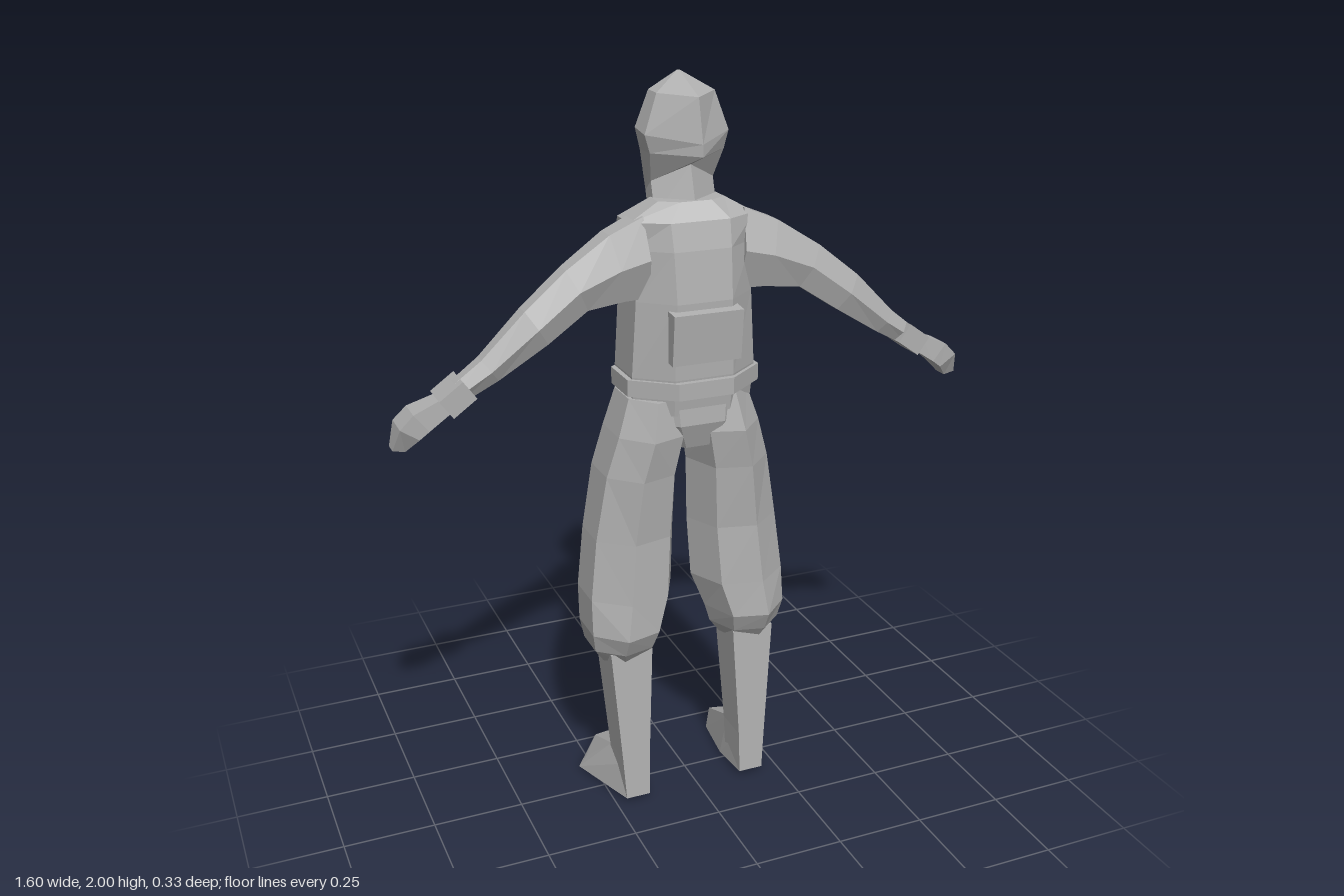
import * as THREE from 'three';
import { ConvexGeometry } from 'three/addons/geometries/ConvexGeometry.js';

const clothGrey = new THREE.MeshStandardMaterial({ color: 0xb0b0b0, flatShading: true });
clothGrey.name = 'clothGrey';

// Skin a solid through rings [x, y, z, halfWidth, halfDepth, angle, tilt], base to tip.
// angle turns the ring in the xy plane, tilt lifts its +z side; side = -1 mirrors in x.
// power shapes the ring: under 1 boxier, over 1 closer to a diamond.
function loft(rings, n, { side = 1, offset = Math.PI / n, power = 1 } = {}) {
  const bend = (v) => Math.sign(v) * Math.abs(v) ** power;
  const dirs = Array.from({ length: n }, (_, j) => offset + (j / n) * Math.PI * 2)
    .map((t) => [bend(Math.cos(t)), bend(Math.sin(t))]);
  const maxU = Math.max(...dirs.map(([u]) => Math.abs(u)));
  const maxV = Math.max(...dirs.map(([, v]) => Math.abs(v)));
  const loops = rings.map(([x, y, z, ru, rv, angle = 0, tilt = 0]) => dirs.map((d) => {
    const u = (d[0] / maxU) * ru, v = d[1] / maxV;
    return [side * (x + u * Math.cos(angle)), y + u * Math.sin(angle) + v * tilt, z + v * rv];
  }));
  const pos = [];
  const tri = (a, b, c) => pos.push(...a, ...(side > 0 ? [...b, ...c] : [...c, ...b]));
  const centre = (r) => [side * r[0], r[1], r[2]];
  const last = rings.length - 1;
  for (let j = 0; j < n; j++) {
    const k = (j + 1) % n;
    for (let i = 0; i < last; i++) {
      tri(loops[i][j], loops[i + 1][j], loops[i][k]);
      tri(loops[i][k], loops[i + 1][j], loops[i + 1][k]);
    }
    tri(centre(rings[0]), loops[0][j], loops[0][k]);
    tri(centre(rings[last]), loops[last][k], loops[last][j]);
  }
  const g = new THREE.BufferGeometry();
  g.setAttribute('position', new THREE.Float32BufferAttribute(pos, 3));
  g.computeVertexNormals();
  return g;
}

export function createModel() {
  const model = new THREE.Group();
  model.name = 'hoodedFigure';
  const add = (name, geometry, x = 0, y = 0, z = 0) => {
    const m = new THREE.Mesh(geometry, clothGrey);
    m.name = name;
    m.position.set(x, y, z);
    model.add(m);
    return m;
  };

  // Hooded head, keeled front and back, overhanging at +z and running into the neck
  add('head', loft([
    [0, 1.64, -0.01, 0.085, 0.08, 0, 0.045],
    [0, 1.72, -0.035, 0.085, 0.075, 0, 0.06],
    [0, 1.81, -0.018, 0.1, 0.138, 0, 0],
    [0, 1.86, -0.018, 0.113, 0.135, 0, -0.02],
    [0, 1.955, -0.02, 0.078, 0.11, 0, -0.005],
    [0, 2, -0.04, 0.004, 0.004],
  ], 6, { offset: Math.PI / 6, power: 2 }));

  // Jacket
  add('torso', loft([
    [0, 1.15, -0.005, 0.165, 0.125],
    [0, 1.25, -0.002, 0.172, 0.135],
    [0, 1.45, 0, 0.16, 0.136],
    [0, 1.58, -0.005, 0.165, 0.126],
    [0, 1.65, 0.01, 0.17, 0.095],
    [0, 1.695, 0.015, 0.09, 0.06],
  ], 8, { power: 0.85 }));

  // Belt, hem block and back pack
  add('belt', loft([
    [0, 1.2, 0.002, 0.185, 0.146],
    [0, 1.245, 0.002, 0.185, 0.146],
  ], 8));
  add('frontHem', new THREE.BoxGeometry(0.15, 0.1, 0.035), 0, 1.19, -0.127);
  add('backPack', new THREE.BoxGeometry(0.19, 0.135, 0.06), 0, 1.365, 0.127).rotation.x = 0.1;

  // Trouser seat joining the legs
  add('trouserSeat', loft([
    [0, 1.05, 0.01, 0.09, 0.09],
    [0, 1.12, 0.005, 0.15, 0.12],
    [0, 1.2, 0, 0.165, 0.12],
  ], 8));

  const legShift = -0.012; // the stance leans a little to the right
  for (const side of [1, -1]) {
    const label = side > 0 ? 'left' : 'right';

    // Baggy trouser leg
    add(label + 'TrouserLeg', loft([
      [0.185, 0.435, 0.01, 0.07, 0.075],
      [0.185, 0.475, 0.01, 0.1, 0.105],
      [0.182, 0.53, 0.012, 0.114, 0.13],
      [0.163, 0.63, 0, 0.133, 0.13],
      [0.148, 0.8, -0.008, 0.127, 0.127],
      [0.13, 0.98, -0.005, 0.113, 0.135],
      [0.104, 1.09, 0.003, 0.106, 0.138],
      [0.09, 1.19, 0, 0.085, 0.118],
    ], 7, { side }), legShift);

    // Square boot shaft and foot, toes turned out
    add(label + 'Boot', loft([
      [0.175, 0.015, 0.06, 0.035, 0.05],
      [0.178, 0.14, 0.052, 0.04, 0.053],
      [0.182, 0.47, 0.028, 0.06, 0.063],
    ], 4, { side }), legShift);
    const foot = [
      [0.14, 0.015, 0.11], [0.21, 0.015, 0.11], [0.142, 0.1, 0.06], [0.212, 0.1, 0.06],
      [0.15, 0.14, 0], [0.215, 0.135, 0], [0.135, 0.005, -0.02],
      [0.155, 0, -0.17], [0.21, 0, -0.17], [0.278, 0.005, -0.11],
      [0.165, 0.065, -0.17], [0.205, 0.06, -0.17], [0.255, 0.035, -0.11],
    ];
    add(label + 'Foot', new ConvexGeometry(
      foot.map(([x, y, z]) => new THREE.Vector3(side * x, y, z))), legShift);

    // Sleeve from wrist to shoulder
    add(label + 'Arm', loft([
      [0.65, 1.26, 0.06, 0.025, 0.03, 0.92],
      [0.55, 1.325, 0.068, 0.035, 0.036, 0.95],
      [0.43, 1.42, 0.07, 0.053, 0.044, 1.0],
      [0.32, 1.5, 0.058, 0.06, 0.048, 1.1],
      [0.21, 1.542, 0.042, 0.088, 0.06, 1.35],
      [0.13, 1.56, 0.03, 0.105, 0.068, 1.5],
    ], 6, { side }));

    // Cuff
    const cuff = add(label + 'Cuff', new THREE.BoxGeometry(0.075, 0.058, 0.092), side * 0.637, 1.266, 0.058);
    cuff.rotation.z = -side * 0.62;

    // Mitten hand, flaring at the knuckles and bent down to the tip
    add(label + 'Hand', loft([
      [0.782, 1.14, 0.042, 0.016, 0.02, 0.2],
      [0.758, 1.188, 0.048, 0.028, 0.042, 0.6],
      [0.728, 1.215, 0.052, 0.03, 0.04, 0.9],
      [0.66, 1.25, 0.058, 0.022, 0.028, 1.0],
    ], 4, { side }));
  }
  return model;
}
